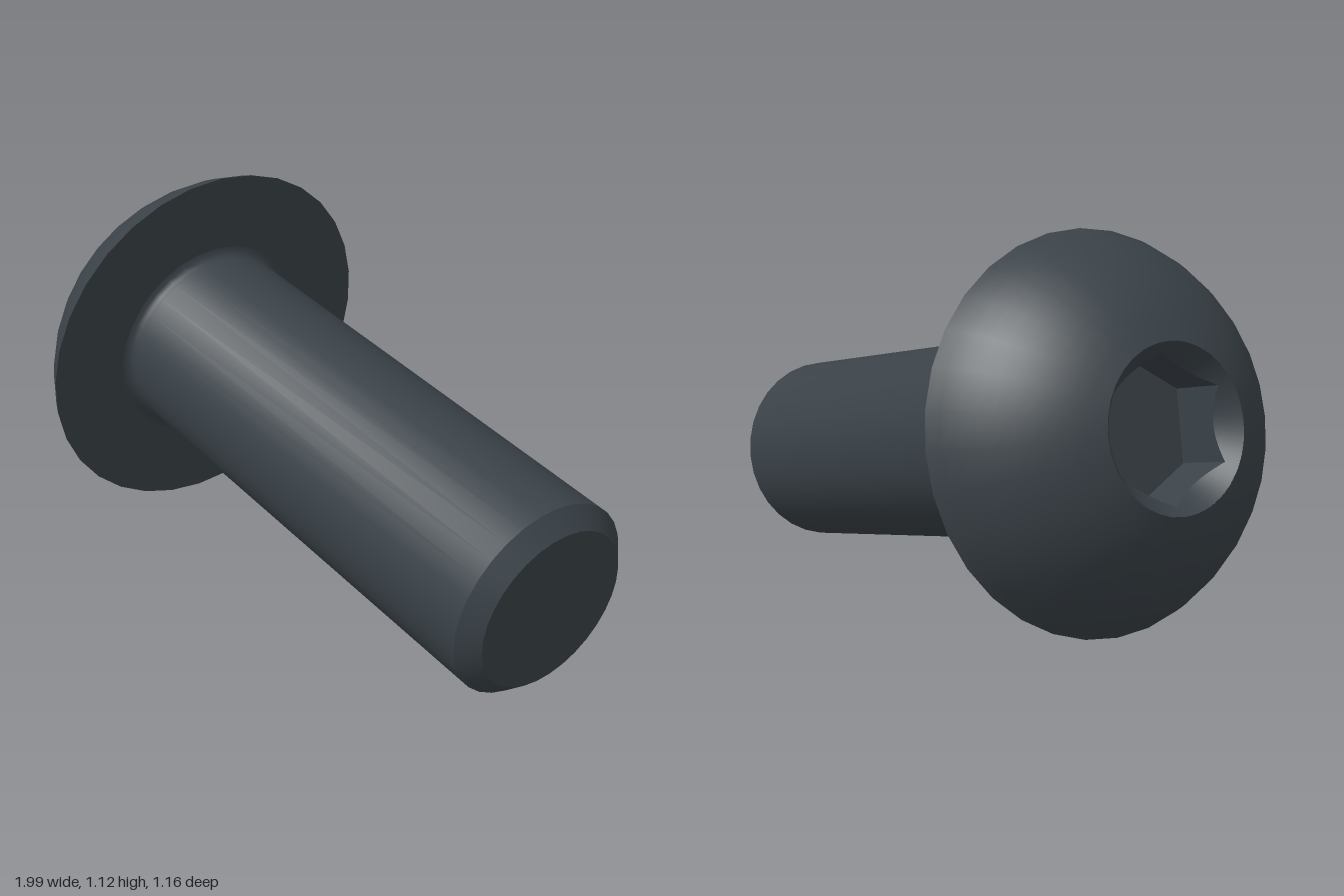
import * as THREE from 'three';
import { toCreasedNormals } from 'three/addons/utils/BufferGeometryUtils.js';

const SEGMENTS = 32;
const SHANK_R = 0.297, HEAD_R = 0.567, LENGTH = 1.6;
const DOME_R = 0.614, DOME_C = -0.235;          // dome is part of a sphere
const MOUTH_R = 0.23, SOCKET_FLAT = 0.178, SOCKET_DEPTH = 0.2;
const domeHeight = r => DOME_C + Math.sqrt(DOME_R * DOME_R - r * r);

function turned(points, name, material) {
  const profile = points.map(([r, y]) => new THREE.Vector2(r, y));
  const geometry = toCreasedNormals(new THREE.LatheGeometry(profile, SEGMENTS), 0.6);
  const mesh = new THREE.Mesh(geometry, material);
  mesh.name = name;
  return mesh;
}

// Hexagonal recess with a conical lead-in, built from rings
function socketGeometry() {
  const n = 96, top = domeHeight(MOUTH_R), floor = top - SOCKET_DEPTH;
  const positions = [], index = [];
  const rings = [
    () => [MOUTH_R, top],
    r => [r, top - (MOUTH_R - r) * 1.2],
    r => [r, floor],
    () => [0, floor],
  ];
  for (const ring of rings) {
    for (let i = 0; i < n; i++) {
      const a = (i / n) * Math.PI * 2;
      const k = a - Math.round(a / (Math.PI / 3)) * (Math.PI / 3);
      const [r, y] = ring(SOCKET_FLAT / Math.cos(k));
      positions.push(r * Math.cos(a), y, r * Math.sin(a));
    }
  }
  for (let j = 0; j < rings.length - 1; j++) {
    for (let i = 0; i < n; i++) {
      const a = j * n + i, b = j * n + (i + 1) % n, c = a + n, d = b + n;
      index.push(a, b, c);
      if (j < rings.length - 2) index.push(b, d, c);
    }
  }
  // wind the faces so they look inward and up
  for (let i = 0; i < index.length; i += 3) {
    [index[i + 1], index[i + 2]] = [index[i + 2], index[i + 1]];
  }
  const geometry = new THREE.BufferGeometry();
  geometry.setAttribute('position', new THREE.Float32BufferAttribute(positions, 3));
  geometry.setIndex(index);
  return toCreasedNormals(geometry, 0.5);
}

export function createModel() {
  const steel = new THREE.MeshStandardMaterial({ color: 0x3a4248 });
  steel.name = 'darkSteel';
  // the recess is an open surface
  const socketSteel = steel;
  socketSteel.side = THREE.DoubleSide;

  const bolt = new THREE.Group();
  bolt.name = 'bolt';

  // Shank with chamfered tip and a small fillet under the head
  bolt.add(turned([
    [0, -LENGTH], [0.245, -LENGTH], [SHANK_R, -LENGTH + 0.052],
    [SHANK_R, -0.03], [0.301, -0.015], [0.312, -0.004], [0.327, 0],
  ], 'shank', steel));

  // Domed head with flat underside
  const head = [[0.327, 0], [HEAD_R, 0]];
  const a0 = Math.acos(HEAD_R / DOME_R), a1 = Math.acos(MOUTH_R / DOME_R);
  for (let i = 1; i <= 10; i++) {
    const r = DOME_R * Math.cos(a0 + (a1 - a0) * i / 10);
    head.push([r, domeHeight(r)]);
  }
  bolt.add(turned(head, 'head', steel));

  const socket = new THREE.Mesh(socketGeometry(), socketSteel);
  socket.name = 'hexSocket';
  bolt.add(socket);

  // Lay the bolt along its tilted axis, head towards -x
  const up = new THREE.Vector3(-1, 0.174, -0.213).normalize();
  const side = new THREE.Vector3(-0.213, 0, 1).normalize();
  const third = new THREE.Vector3().crossVectors(side, up);
  bolt.quaternion.setFromRotationMatrix(new THREE.Matrix4().makeBasis(side, up, third));
  bolt.position.set(-0.606, 0.563, -0.027);

  const model = new THREE.Group();
  model.name = 'buttonHeadBolt';
  model.add(bolt);
  return model;
}
